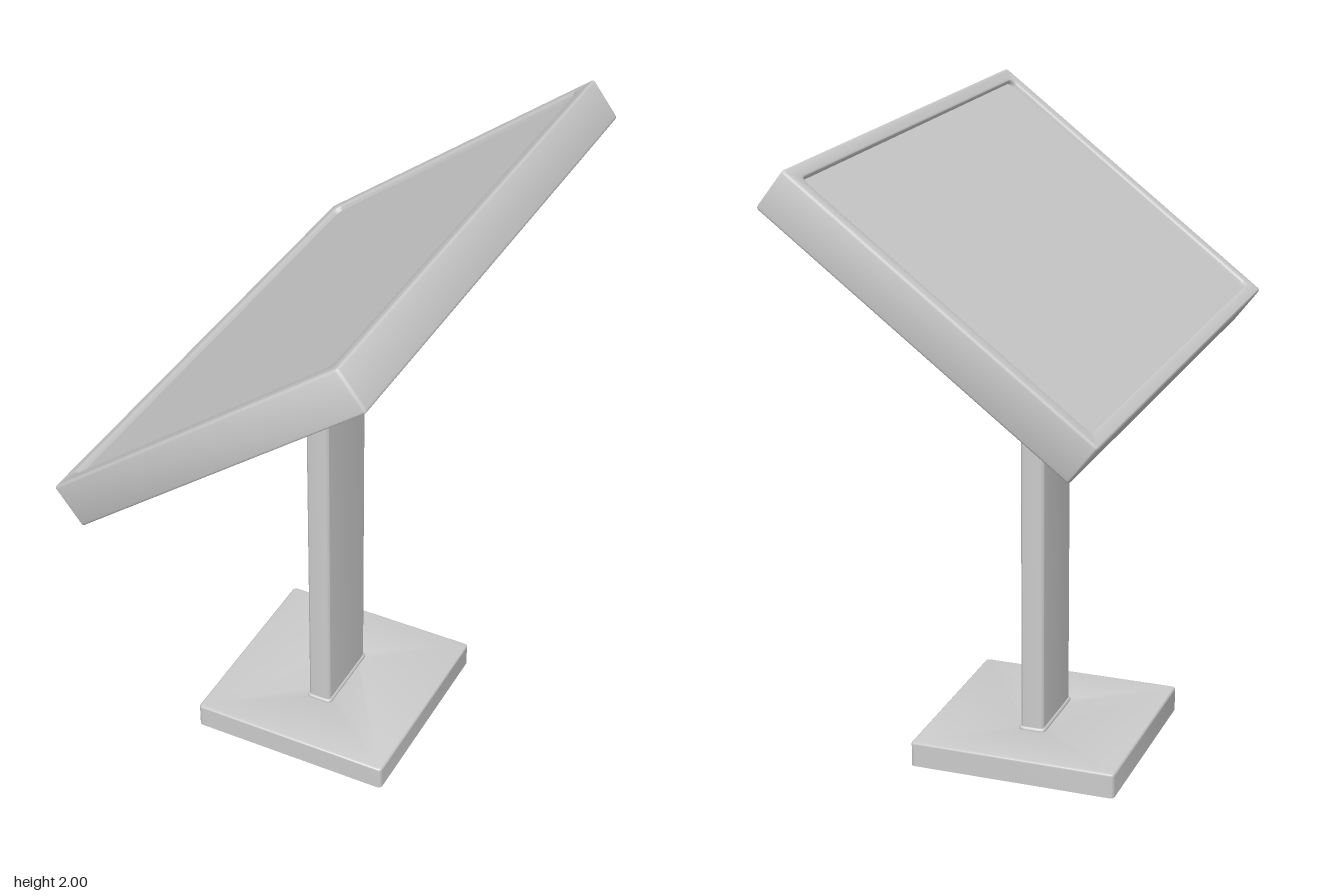
import * as THREE from 'three';
import { toCreasedNormals } from 'three/addons/utils/BufferGeometryUtils.js';

const material = new THREE.MeshStandardMaterial({ color: 0xcccccc });

// Trace a centred rounded rectangle onto a Shape or Path
function roundedRect(path, w, d, r) {
  const x = w / 2, y = d / 2;
  path.moveTo(-x + r, -y);
  path.lineTo(x - r, -y);
  path.absarc(x - r, -y + r, r, -Math.PI / 2, 0, false);
  path.lineTo(x, y - r);
  path.absarc(x - r, y - r, r, 0, Math.PI / 2, false);
  path.lineTo(-x + r, y);
  path.absarc(-x + r, y - r, r, Math.PI / 2, Math.PI, false);
  path.lineTo(-x, -y + r);
  path.absarc(-x + r, -y + r, r, Math.PI, Math.PI * 1.5, false);
  return path;
}

// Slab lying in the xz plane from y0 to y1; outline and hole are [w, d, radius]
function slab(name, outline, y0, y1, bevel = 0, hole = null) {
  const shape = roundedRect(new THREE.Shape(), ...outline);
  if (hole) shape.holes.push(roundedRect(new THREE.Path(), ...hole));
  const geometry = new THREE.ExtrudeGeometry(shape, {
    depth: y1 - y0 - 2 * bevel,
    bevelEnabled: bevel > 0,
    bevelSize: bevel,
    bevelThickness: bevel,
    bevelOffset: -bevel,
    bevelSegments: 3,
    curveSegments: 6,
  });
  geometry.translate(0, 0, bevel).rotateX(-Math.PI / 2).translate(0, y0, 0);
  const mesh = new THREE.Mesh(toCreasedNormals(geometry, 0.6), material);
  mesh.name = name;
  return mesh;
}

export function createModel() {
  const model = new THREE.Group();
  model.name = 'kioskStand';
  const tilt = 0.653;
  const postX = -0.04;
  const slot = [0.056, 0.23, 0.0275];

  // Hollow foot: thin skirt under a plate with a cable slot
  const base = new THREE.Group();
  base.name = 'base';
  base.position.x = -0.045;
  const skirt = slab('baseSkirt', [0.67, 0.68, 0.014], 0, 0.072, 0, [0.646, 0.656, 0.008]);
  const plate = slab('basePlate', [0.67, 0.68, 0.014], 0.064, 0.08, 0.007);
  // The slot sits slightly off the plate centre, under the post
  const plateShape = roundedRect(new THREE.Shape(), 0.67, 0.68, 0.014);
  const slotPath = roundedRect(new THREE.Path(), ...slot);
  plateShape.holes.push(new THREE.Path(slotPath.getPoints(6).map(
    (p) => new THREE.Vector2(p.x + postX - base.position.x, p.y))));
  const plateGeometry = new THREE.ExtrudeGeometry(plateShape, {
    depth: 0.002, bevelSize: 0.007, bevelThickness: 0.007, bevelOffset: -0.007,
    bevelSegments: 3, curveSegments: 6,
  });
  plateGeometry.translate(0, 0, 0.007).rotateX(-Math.PI / 2).translate(0, 0.064, 0);
  plate.geometry = toCreasedNormals(plateGeometry, 0.6);
  base.add(skirt, plate);

  // Hollow post, its top cut to the slope of the panel's underside
  const post = slab('post', [0.076, 0.26, 0.012], 0.066, 1.5, 0, slot);
  post.position.x = postX;
  const p = post.geometry.attributes.position;
  for (let i = 0; i < p.count; i++) {
    if (p.getY(i) > 1) p.setY(i, 1.49 + p.getX(i) * Math.tan(tilt));
  }
  const collar = slab('postCollar', [0.088, 0.272, 0.016], 0.074, 0.09, 0.006, slot);
  collar.position.x = postX;

  // Tilted panel: rim with a rounded opening, filled by a slightly sunken screen
  const panel = new THREE.Group();
  panel.name = 'panel';
  panel.position.set(0.041, 1.549, 0);
  panel.rotation.z = tilt;
  const opening = [1.038, 1.645, 0.025];
  panel.add(
    slab('panelFrame', [1.13, 1.738, 0.012], 0, 0.139, 0.007, opening),
    slab('screen', [1.068, 1.675, 0.03], 0, 0.122),
  );

  model.add(base, post, collar, panel);
  return model;
}
